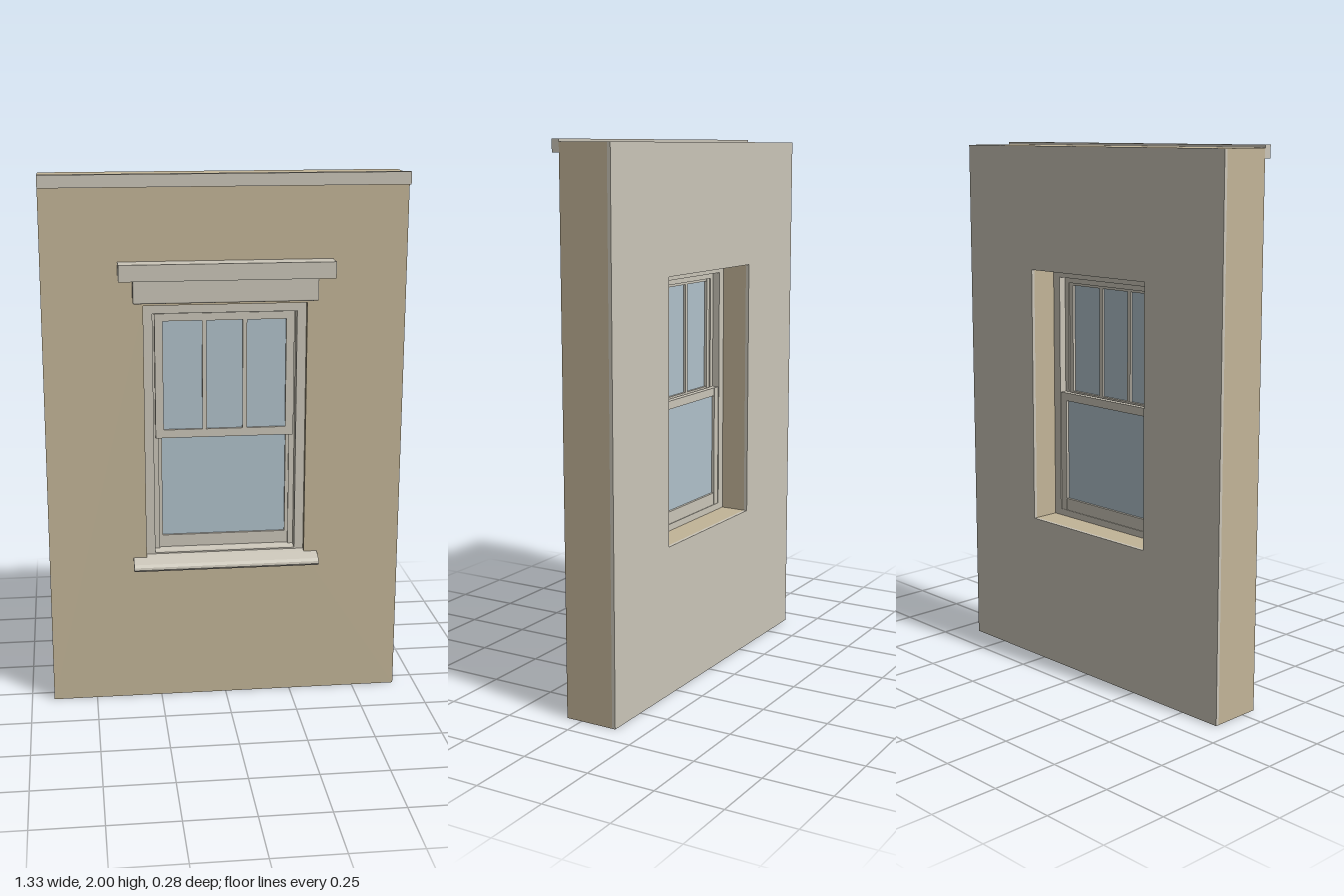
import * as THREE from 'three';
import { RoundedBoxGeometry } from 'three/addons/geometries/RoundedBoxGeometry.js';

const material = (name, color) => {
  const m = new THREE.MeshStandardMaterial({ color });
  m.name = name;
  return m;
};

export function createModel() {
  const root = new THREE.Group();
  root.name = 'wallWithWindow';
  const siding = material('tan siding', 0xc2b497);
  const trim = material('pale grey trim', 0xcac5b8);
  const pane = material('blue grey glass', 0xb0c1ca);

  const add = (name, geometry, mat, parent = root) => {
    const mesh = new THREE.Mesh(geometry, mat);
    mesh.name = name;
    parent.add(mesh);
    return mesh;
  };

  // Box given by its limits on each axis
  const box = (name, [x0, x1], [y0, y1], [z0, z1], mat, parent, radius = 0) => {
    const size = [x1 - x0, y1 - y0, z1 - z0];
    const geometry = radius
      ? new RoundedBoxGeometry(...size, 2, radius)
      : new THREE.BoxGeometry(...size);
    const mesh = add(name, geometry, mat, parent);
    mesh.position.set((x0 + x1) / 2, (y0 + y1) / 2, (z0 + z1) / 2);
    return mesh;
  };

  // Rectangular slab with a rectangular opening
  const slab = (name, w, [y0, y1], hw, [h0, h1], [z0, z1], mat, parent) => {
    const shape = new THREE.Shape([
      new THREE.Vector2(-w, y0), new THREE.Vector2(w, y0),
      new THREE.Vector2(w, y1), new THREE.Vector2(-w, y1),
    ]);
    shape.holes.push(new THREE.Path([
      new THREE.Vector2(-hw, h0), new THREE.Vector2(-hw, h1),
      new THREE.Vector2(hw, h1), new THREE.Vector2(hw, h0),
    ]));
    const geometry = new THREE.ExtrudeGeometry(shape, { depth: z1 - z0, bevelEnabled: false });
    geometry.translate(0, 0, z0);
    return add(name, geometry, mat, parent);
  };

  // Profile in (z, y) swept along x
  const sweepX = (name, points, halfWidth, mat, parent) => {
    const shape = new THREE.Shape(points.map(([z, y]) => new THREE.Vector2(-z, y)));
    const geometry = new THREE.ExtrudeGeometry(shape, { depth: halfWidth * 2, bevelEnabled: false });
    geometry.translate(0, 0, -halfWidth);
    geometry.rotateY(Math.PI / 2);
    return add(name, geometry, mat, parent);
  };

  // Wall with an inner lining
  slab('wall', 0.665, [0, 1.99], 0.3, [0.56, 1.53], [-0.127, 0.06], siding);
  slab('innerLining', 0.665, [0, 1.99], 0.3, [0.56, 1.53], [-0.14, -0.127], trim);

  // Trim on the front of the wall
  box('topBand', [-0.665, 0.665], [1.955, 2], [0.06, 0.088], trim);
  box('headCap', [-0.39, 0.39], [1.63, 1.69], [0.06, 0.14], trim);
  box('headBoard', [-0.338, 0.338], [1.54, 1.63], [0.055, 0.086], trim, root, 0.006);

  // Sill with a rounded nose, and its sloped part in the opening
  sweepX('sill', [
    [0.06, 0.525], [0.098, 0.525], [0.11, 0.529], [0.115, 0.536],
    [0.113, 0.545], [0.104, 0.554], [0.06, 0.568],
  ], 0.35, trim);
  sweepX('innerSill', [
    [-0.03, 0.56], [0.06, 0.56], [0.06, 0.568], [0.003, 0.583], [-0.03, 0.585],
  ], 0.3, trim);

  // Fixed frame and the bead between the two sashes
  const frame = new THREE.Group();
  frame.name = 'windowFrame';
  root.add(frame);
  slab('frame', 0.3, [0.565, 1.53], 0.266, [0.578, 1.497], [-0.03, 0.04], trim, frame);
  slab('partingBead', 0.27, [0.575, 1.5], 0.246, [0.583, 1.475], [-0.002, 0.003], trim, frame);

  // Sash: two stiles, two rails and a glass pane
  const sash = (name, half, inner, [y0, y1], [g0, g1], [z0, z1]) => {
    const group = new THREE.Group();
    group.name = name;
    root.add(group);
    for (const s of [-1, 1]) {
      const xs = s < 0 ? [-half, -inner] : [inner, half];
      box(s < 0 ? 'rightStile' : 'leftStile', xs, [y0, y1], [z0, z1], trim, group);
    }
    const depth = [z0 + 0.001, z1 - 0.001];
    box('bottomRail', [-inner, inner], [y0, g0], depth, trim, group);
    box('topRail', [-inner, inner], [g1, y1], depth, trim, group);
    const mid = (z0 + z1) / 2;
    box('glass', [-inner, inner], [g0, g1], [mid - 0.002, mid + 0.002], pane, group);
    return group;
  };

  const upper = sash('upperSash', 0.258, 0.228, [1.025, 1.494], [1.056, 1.466], [0.004, 0.029]);
  for (const x of [-0.075, 0.075]) {
    box('glazingBar', [x - 0.008, x + 0.008], [1.056, 1.466], [0.006, 0.027], trim, upper);
  }
  sash('lowerSash', 0.264, 0.234, [0.585, 1.052], [0.632, 1.021], [-0.028, -0.003]);

  return root;
}
